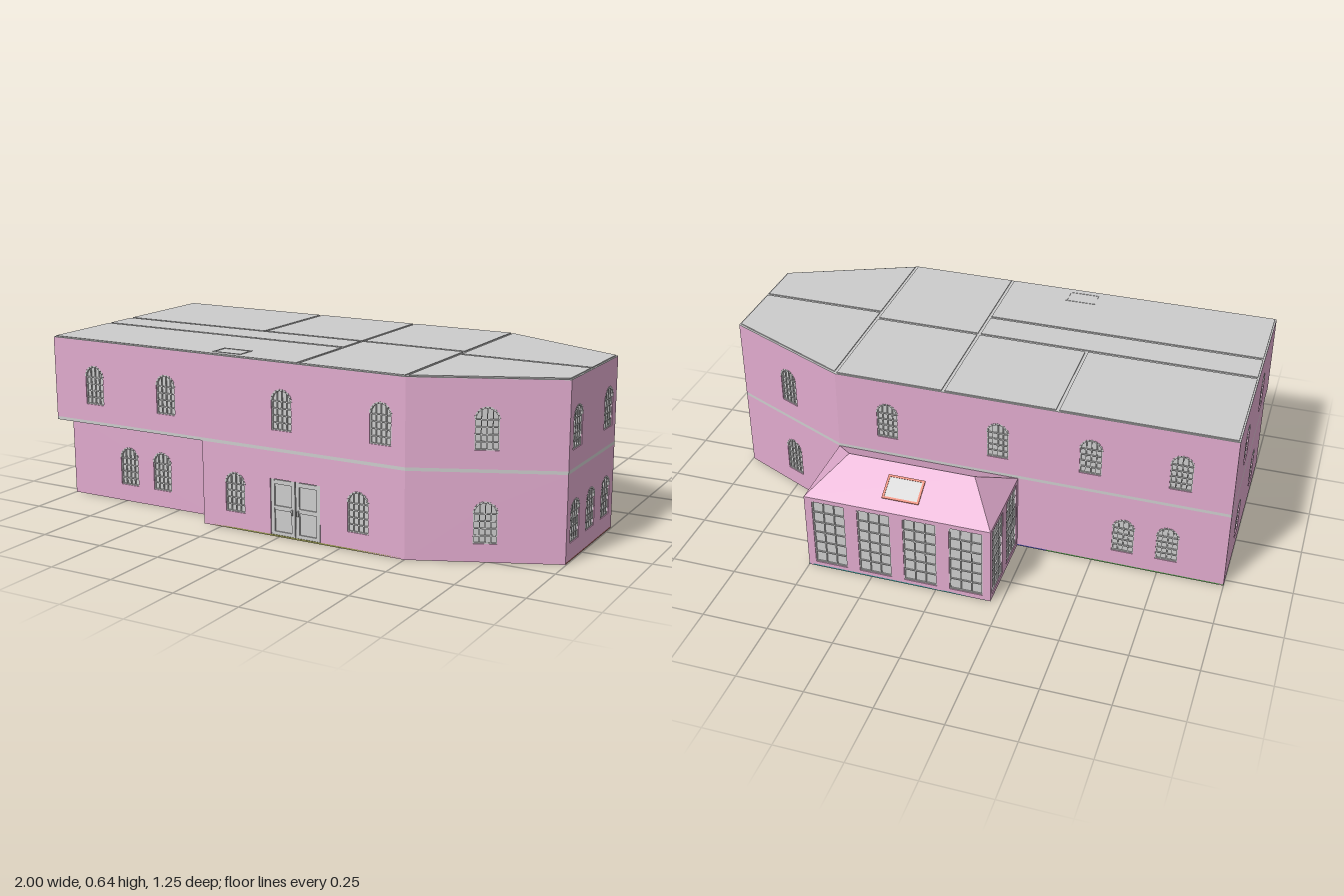
import * as THREE from 'three';
import { mergeGeometries } from 'three/addons/utils/BufferGeometryUtils.js';
import { ConvexGeometry } from 'three/addons/geometries/ConvexGeometry.js';

const T = 0.016; // wall thickness
const paint = (color) => new THREE.MeshStandardMaterial({ color });
const pink = paint(0xe0aacd), grey = paint(0xcccccc), orange = paint(0xe07a62);

const mesh = (name, geometry, material) => {
  const m = new THREE.Mesh(geometry, material);
  m.name = name;
  return m;
};

const box = (w, h, d, x, y, z) => new THREE.BoxGeometry(w, h, d).translate(x, y, z);

// Flat plate from a plan outline of [x, z] points
function plate(name, outline, y, height, material) {
  const shape = new THREE.Shape(outline.map(([x, z]) => new THREE.Vector2(x, -z)));
  const g = new THREE.ExtrudeGeometry(shape, { depth: height, bevelEnabled: false });
  return mesh(name, g.rotateX(-Math.PI / 2).translate(0, y, 0), material);
}

const rect = (x0, x1, z0, z1) => [[x0, z0], [x1, z0], [x1, z1], [x0, z1]];

// Outline of an opening, optionally with a round head
function outlineOf(o, Kind) {
  const s = new Kind(), r = o.w / 2, top = o.y + o.h;
  s.moveTo(o.u - r, o.y);
  s.lineTo(o.u + r, o.y);
  if (o.arch) {
    s.lineTo(o.u + r, top - r);
    s.absarc(o.u, top - r, r, 0, Math.PI, false);
  } else {
    s.lineTo(o.u + r, top);
    s.lineTo(o.u - r, top);
  }
  s.closePath();
  return s;
}

// Pane with a grid of glazing bars
function windowUnit(o) {
  const g = new THREE.Group();
  g.name = o.name;
  const pane = new THREE.ExtrudeGeometry(outlineOf(o, THREE.Shape), { depth: 0.003, bevelEnabled: false, curveSegments: 12 });
  g.add(mesh('pane', pane.translate(0, 0, -0.011), grey));
  const r = o.w / 2, straight = o.arch ? o.h - r : o.h, b = 0.004, bars = [];
  const zBar = -0.006;
  for (let i = 0; i <= o.cols; i++) {
    const dx = -r + b / 2 + (i * (o.w - b)) / o.cols;
    const rise = o.arch ? Math.sqrt(Math.max(0, r * r - dx * dx)) * 0.95 : 0;
    bars.push(box(b, straight + rise, 0.005, o.u + dx, o.y + (straight + rise) / 2, zBar));
  }
  for (let j = 0; j <= o.rows; j++) {
    const y = o.y + b / 2 + (j * (straight - b)) / o.rows;
    bars.push(box(o.w, b, 0.005, o.u, y, zBar));
  }
  g.add(mesh('glazingBars', mergeGeometries(bars), grey));
  if (o.arch) {
    // Ring of small voussoirs around the head
    const stones = [];
    for (let k = 0; k < 9; k++) {
      const a = (k + 0.5) * Math.PI / 9;
      stones.push(new THREE.BoxGeometry(0.007, 0.011, 0.012).translate(r - 0.001, 0, -0.005)
        .rotateZ(a).translate(o.u, o.y + straight, 0));
    }
    g.add(mesh('archStones', mergeGeometries(stones), grey));
  }
  return g;
}

// Double door with stiles, rails and handles
function doorUnit(o) {
  const g = new THREE.Group();
  g.name = o.name;
  const { u, w, h } = o, parts = [];
  for (const s of [-1, 1]) {
    const c = u + s * w / 4, lw = w / 2 - 0.004;
    parts.push(box(lw, h, 0.006, c, h / 2, -0.011));
    for (const e of [-1, 1]) parts.push(box(0.014, h, 0.006, c + e * (lw / 2 - 0.007), h / 2, -0.005));
    for (const f of [0.05, 0.5, 0.95]) parts.push(box(lw, 0.016, 0.005, c, h * f, -0.005));
    parts.push(box(0.005, 0.02, 0.008, u + s * 0.012, h * 0.46, 0.002));
  }
  g.add(mesh('doorLeaves', mergeGeometries(parts), grey));
  return g;
}

// Wall running from a to b (plan points) with its outside on the right
function wall(name, a, b, y, height, openings = []) {
  const g = new THREE.Group();
  g.name = name;
  const dx = b[0] - a[0], dz = b[1] - a[1], L = Math.hypot(dx, dz);
  const s = new THREE.Shape();
  s.moveTo(0, 0);
  let x = 0;
  // Doors notch the lower edge; windows become holes
  for (const o of openings.filter((p) => p.door)) {
    s.lineTo(o.u - o.w / 2, 0); s.lineTo(o.u - o.w / 2, o.h);
    s.lineTo(o.u + o.w / 2, o.h); s.lineTo(o.u + o.w / 2, 0);
  }
  s.lineTo(L, 0); s.lineTo(L, height); s.lineTo(x, height); s.closePath();
  for (const o of openings) {
    if (!o.door) s.holes.push(outlineOf(o, THREE.Path));
    g.add(o.door ? doorUnit(o) : windowUnit(o));
  }
  const geo = new THREE.ExtrudeGeometry(s, { depth: T, bevelEnabled: false, curveSegments: 12 });
  g.add(mesh('wallPanel', geo.translate(0, 0, -T), pink));
  g.position.set(a[0], y, a[1]);
  g.rotation.y = Math.atan2(-dz, dx);
  return g;
}

const arched = (...us) => us.map((u) => ({ name: 'archedWindow', u, y: 0.065, w: 0.082, h: 0.147, arch: true, cols: 4, rows: 4 }));
const tall = (...us) => us.map((u) => ({ name: 'tallWindow', u, y: 0.02, w: 0.126, h: 0.278, cols: 3, rows: 6 }));

export function createModel() {
  const model = new THREE.Group();
  model.name = 'house';
  const F = 0.617, B = -0.283, R = 0.53, S = -0.325;
  const A = [-1, F], C = [0.5, F], D = [0.997, 0.4], E = [0.997, -0.057], G = [0.5, B], H = [-1, B];
  const bay = Math.hypot(D[0] - C[0], D[1] - C[1]) / 2;
  const outline = [A, C, D, E, G, H];

  // Ground storey, with its front set back at one end
  const low = 0.314;
  model.add(
    wall('lowerRecessedWall', [-1, R], [S, R], 0, low, arched(0.27, 0.425)),
    wall('lowerReturnWall', [S, R], [S, F], 0, low),
    wall('lowerFrontWall', [S, F], C, 0, low, [
      ...arched(0.14, 0.645), { name: 'frontDoor', door: true, u: 0.392, w: 0.205, h: 0.213 }]),
    wall('lowerFrontBayWall', C, D, 0, low, arched(bay)),
    wall('lowerEndWall', D, E, 0, low, arched(0.075, 0.226, 0.378)),
    wall('lowerBackBayWall', E, G, 0, low, arched(bay)),
    wall('lowerBackWall', G, H, 0, low, arched(1.115, 1.28)),
    wall('lowerSideWall', H, [-1, R], 0, low, arched(0.24, 0.585)));

  // Upper storey
  const up = 0.326, h = 0.634 - up;
  model.add(
    wall('upperFrontWall', A, C, up, h, arched(0.188, 0.517, 1.015, 1.407)),
    wall('upperFrontBayWall', C, D, up, h, arched(bay)),
    wall('upperEndWall', D, E, up, h, arched(0.075, 0.378)),
    wall('upperBackBayWall', E, G, up, h, arched(bay)),
    wall('upperBackWall', G, H, up, h, arched(0.2, 0.63, 0.98, 1.31)),
    wall('upperSideWall', H, A, up, h, arched(0.255, 0.63)));

  // Slab between storeys and the flat roof split by shallow joints
  model.add(plate('middleFloor', outline, low, up - low, grey));
  model.add(plate('roofSlab', outline, 0.634, 0.002, grey));
  const j = 0.006;
  const rooms = [[-1, 0.08, 0.29, F], [-1, 0.08, 0.15, 0.29], [-1, -0.35, B, 0.15],
    [-0.35, 0.08, B, 0.15], [0.08, 0.5, 0.15, F], [0.08, 0.5, B, 0.15]];
  for (const [x0, x1, z0, z1] of rooms) {
    model.add(plate('roofPanel', rect(x0 + j, x1 - j, z0 + j, z1 - j), 0.636, 0.004, grey));
  }
  model.add(plate('bayRoofPanel', [[0.5 + j, F - 2 * j], [D[0] - j, 0.4 - j], [D[0] - j, 0.2 + j], [0.5 + j, 0.2 + j]], 0.636, 0.004, grey));
  model.add(plate('bayRoofPanel', [[0.5 + j, 0.2 - j], [D[0] - j, 0.2 - j], [E[0] - j, E[1] + j], [0.5 + j, B + 2 * j]], 0.636, 0.004, grey));
  const hatch = [];
  for (const s of [-1, 1]) {
    hatch.push(box(0.12, 0.002, 0.006, -0.23, 0.6405, 0.55 + s * 0.035));
    hatch.push(box(0.006, 0.002, 0.07, -0.23 + s * 0.057, 0.6405, 0.55));
  }
  model.add(mesh('roofHatchFrame', mergeGeometries(hatch), grey));

  // Coloured room floors
  const floors = [
    ['sideRoomFloor', rect(-1, S, B, R), 0x5a9450],
    ['frontRoomFloor', rect(S, 0.5, 0.05, F), 0x94944f],
    ['corridorFloor', [[S, B], [0.5, B], [0.5, -0.09], [0.28, -0.09], [0.28, 0.05], [S, 0.05]], 0x50509a],
    ['smallRoomFloor', rect(0.28, 0.5, -0.09, 0.05), 0x80507f],
    ['bayFloor', [C, D, E, G], 0x945a55],
    ['annexFloor', rect(-0.21, 0.5, -0.624, B), 0x459494]];
  for (const [name, pts, color] of floors) model.add(plate(name, pts, 0, 0.006, paint(color)));

  // Glazed annex at the back with a hipped roof
  const Z = -0.624, X0 = -0.21, X1 = 0.5;
  model.add(
    wall('annexEndWall', [X1, B], [X1, Z], 0, low, tall(0.081, 0.256)),
    wall('annexBackWall', [X1, Z], [X0, Z], 0, low, tall(0.092, 0.267, 0.442, 0.617)),
    wall('annexSideWall', [X0, Z], [X0, B], 0, low, tall(0.085, 0.26)));
  const v = (x, y, z) => new THREE.Vector3(x, y, z);
  const zr = -0.455;
  model.add(mesh('annexRoof', new ConvexGeometry([
    v(X0, low, B), v(X1, low, B), v(X1, low, Z), v(X0, low, Z), v(-0.098, 0.416, zr), v(0.385, 0.416, zr)]), pink));

  // Skylight on the back slope
  const sky = new THREE.Group();
  sky.name = 'skylight';
  const rim = [];
  for (const s of [-1, 1]) {
    rim.push(box(0.14, 0.006, 0.008, 0, 0.001, s * 0.043));
    rim.push(box(0.008, 0.006, 0.094, s * 0.066, 0.001, 0));
  }
  sky.add(mesh('skylightFrame', mergeGeometries(rim), orange));
  sky.add(mesh('skylightGlass', box(0.126, 0.004, 0.08, 0, 0, 0), grey));
  sky.position.set(0.143, 0.365, -0.5405);
  sky.rotation.x = -Math.atan2(0.416 - low, zr - Z);
  model.add(sky);
  return model;
}
